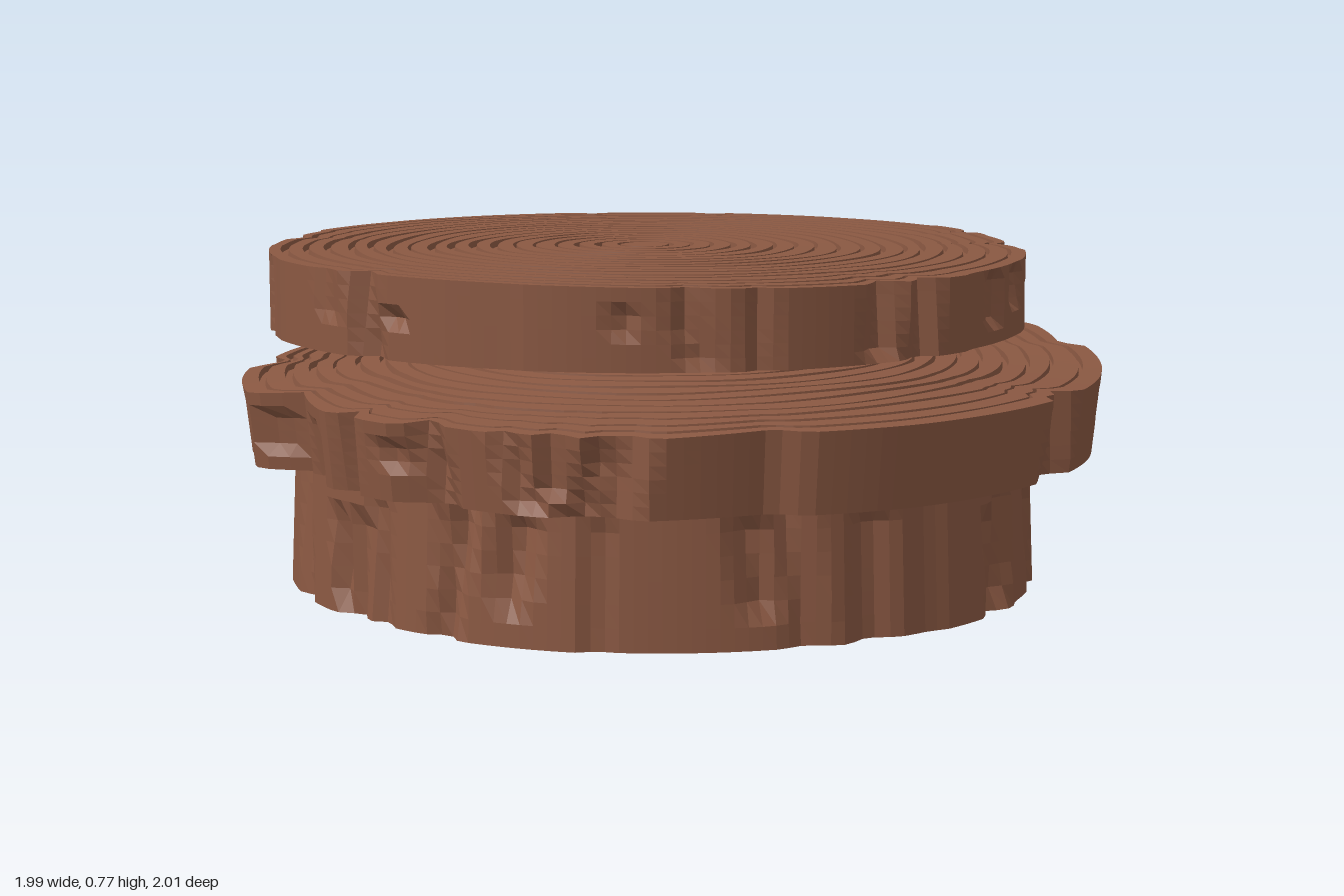
import * as THREE from 'three';

const SEG = 180, TAU = Math.PI * 2;

// Small seeded random generator
function seeded(seed) {
  let s = seed;
  return () => (s = (s * 16807) % 2147483647) / 2147483647;
}

// Linear interpolation through [position, value] pairs
function sample(table, p) {
  for (let i = 1; i < table.length; i++) {
    const [a, va] = table[i - 1], [b, vb] = table[i];
    if (p <= b) return va + (vb - va) * (p - a) / (b - a);
  }
  return table[table.length - 1][1];
}

// Faceted skin through closed rows of points, from the top centre outward and down
function skin(rows) {
  const pos = [], idx = [], w = SEG + 1;
  for (const row of rows)
    for (let j = 0; j <= SEG; j++) pos.push(...row((j % SEG) / SEG * TAU));
  for (let i = 0; i < rows.length - 1; i++)
    for (let j = 0; j < SEG; j++) {
      const a = i * w + j, b = a + 1, c = a + w, d = c + 1;
      idx.push(a, b, c, b, d, c);
    }
  const g = new THREE.BufferGeometry();
  g.setAttribute('position', new THREE.Float32BufferAttribute(pos, 3));
  g.setIndex(idx);
  const flat = g.toNonIndexed();
  flat.computeVertexNormals();
  return flat;
}

// Random outline of broad bark plates with a step between neighbours
function plateOutline(rand, radius) {
  const table = [];
  let deg = 0;
  while (deg < 340) {
    const r = radius * (0.985 + 0.03 * rand()), len = 14 + rand() * 16;
    table.push([deg, r], [Math.min(deg + len - 2, 357), r + 0.012 * (rand() - 0.5)]);
    deg += len;
  }
  table.push([360, table[0][1]]);
  return table;
}

// Slice of a log: grooved growth rings on top, cracked bark around the side
function slice({ seed, cx, cz, radius, outline, bottom, top, rings, cracks, crackDepth, flare }) {
  const rand = seeded(seed);
  const edge = outline || plateOutline(rand, radius);
  const splits = Array.from({ length: cracks }, () => ({
    t: rand() * TAU, w: 0.035 + 0.045 * rand(), depth: crackDepth * (0.35 + 0.65 * rand()),
    slant: (rand() - 0.5) * 0.14, from: rand() < 0.5 ? 0 : rand() * 0.5, to: rand() < 0.5 ? 1 : 0.5 + rand() * 0.5,
  }));
  // Radius of the bark at angle t and height v (0 bottom, 1 top)
  const bark = (t, v) => {
    let cut = 0;
    for (const s of splits) {
      let d = Math.abs(t - s.t - s.slant * (v - 0.5));
      d = Math.min(d, TAU - d);
      if (v >= s.from && v <= s.to) cut = Math.max(cut, s.depth * Math.max(0, 1 - d / s.w));
    }
    return sample(edge, t * 180 / Math.PI) * (1 + flare * (v - 0.5)) - cut;
  };
  // Point on the top face: round near the heart, following the bark at the rim
  const topPoint = (f, df, drop, wob) => (t) => {
    const k = Math.pow(f, 8);
    const base = radius * (1 + 0.012 * Math.sin(3 * t + wob) + 0.008 * Math.sin(7 * t + wob * 3));
    const r = (base * (1 - k) + bark(t, 1) * k) * f + df(t);
    return [cx + r * Math.cos(t), top(r, t) - drop, cz + r * Math.sin(t)];
  };
  const none = () => 0;
  const rows = [topPoint(0, none, 0, 0)];
  for (let i = 1; i <= rings; i++) {
    const f = (i + 0.25) / (rings + 1), wob = i * 0.35 + rand(), ph = rand() * TAU;
    const half = (t) => 0.003 + 0.005 * Math.abs(Math.sin(1.5 * t + ph) * Math.cos(2 * t + ph));
    const shift = (side) => (t) => side * half(t % TAU);
    rows.push(topPoint(f, shift(-1.3), 0, wob), topPoint(f, shift(-1), 0.014, wob),
      topPoint(f, shift(1), 0.014, wob), topPoint(f, shift(1.3), 0, wob));
  }
  rows.push(topPoint(1, none, 0, 0));
  // Bark rows, then the underside closing to its centre
  for (let i = 0; i <= 6; i++) {
    const v = 1 - i / 6;
    rows.push((t) => {
      const r = bark(t, v), y = bottom + (top(bark(t, 1), t) - bottom) * v;
      return [cx + r * Math.cos(t), y, cz + r * Math.sin(t)];
    });
  }
  rows.push(() => [cx, bottom, cz]);
  return { geometry: skin(rows), rim: (t) => bark(t, 0) };
}

export function createModel() {
  const model = new THREE.Group();
  const wood = new THREE.MeshStandardMaterial({ color: 0x8a5842 });
  wood.name = 'brown bark';
  const cutWood = new THREE.MeshStandardMaterial({ color: 0xb8a078 });
  cutWood.name = 'pale cut wood';

  const add = (name, geometry, material) => {
    const mesh = new THREE.Mesh(geometry, material);
    mesh.name = name;
    model.add(mesh);
    return mesh;
  };

  // Lower log
  const lower = slice({
    seed: 71, cx: -0.015, cz: 0, radius: 0.865, bottom: 0.004, top: () => 0.305,
    rings: 0, cracks: 26, crackDepth: 0.05, flare: -0.015,
  });
  add('lowerLog', lower.geometry, wood);

  // Pale cut face under the lower log
  const cut = [
    (t) => [-0.015 + lower.rim(t) * Math.cos(t), 0, lower.rim(t) * Math.sin(t)],
    () => [-0.015, 0, 0],
  ];
  add('baseCut', skin(cut), cutWood);

  // Middle slice: widest, broken rim, top rising to the heart
  const brokenRim = [
    [0, 0.985], [19, 0.97], [29, 1], [40, 0.96], [43, 0.95], [46, 1], [70, 1], [90, 0.995], [113, 1],
    [127, 0.99], [131, 0.95], [146, 1.01], [161, 1], [176, 0.95], [180, 0.985], [193, 0.97], [206, 0.9],
    [211, 1], [232, 0.97], [236, 0.94], [256, 0.945], [262, 0.995], [279, 1], [297, 1], [315, 1.01],
    [331, 1.02], [342, 1.01], [360, 0.985],
  ];
  const dome = [[0, 0.587], [0.14, 0.583], [0.45, 0.53], [0.8, 0.5], [1.03, 0.485]];
  const middle = slice({
    seed: 1234, cx: 0, cz: 0, radius: 0.97, outline: brokenRim, bottom: 0.307,
    top: (r, t) => {
      const c = Math.cos(t);
      return sample(dome, r) + (c > 0 ? 0.055 * c * c : -0.012 * c * c) * r * r;
    },
    rings: 18, cracks: 34, crackDepth: 0.06, flare: 0.02,
  });
  add('middleSlice', middle.geometry, wood);

  // Pale chip on the underside of the middle slice
  const chip = add('paleChip', new THREE.CylinderGeometry(1, 1, 0.006, 10), cutWood);
  chip.scale.set(0.035, 1, 0.09);
  chip.position.set(0.875, 0.306, -0.3);
  chip.rotation.y = 0.33;

  // Upper slice: almost flat, dipping a little toward the front
  const upper = slice({
    seed: 4321, cx: -0.035, cz: -0.04, radius: 0.875, bottom: 0.592,
    top: (r, t) => 0.772 - 0.018 * Math.pow(Math.max(0, r * Math.sin(t)), 2),
    rings: 17, cracks: 26, crackDepth: 0.045, flare: 0,
  });
  add('upperSlice', upper.geometry, wood);

  return model;
}
